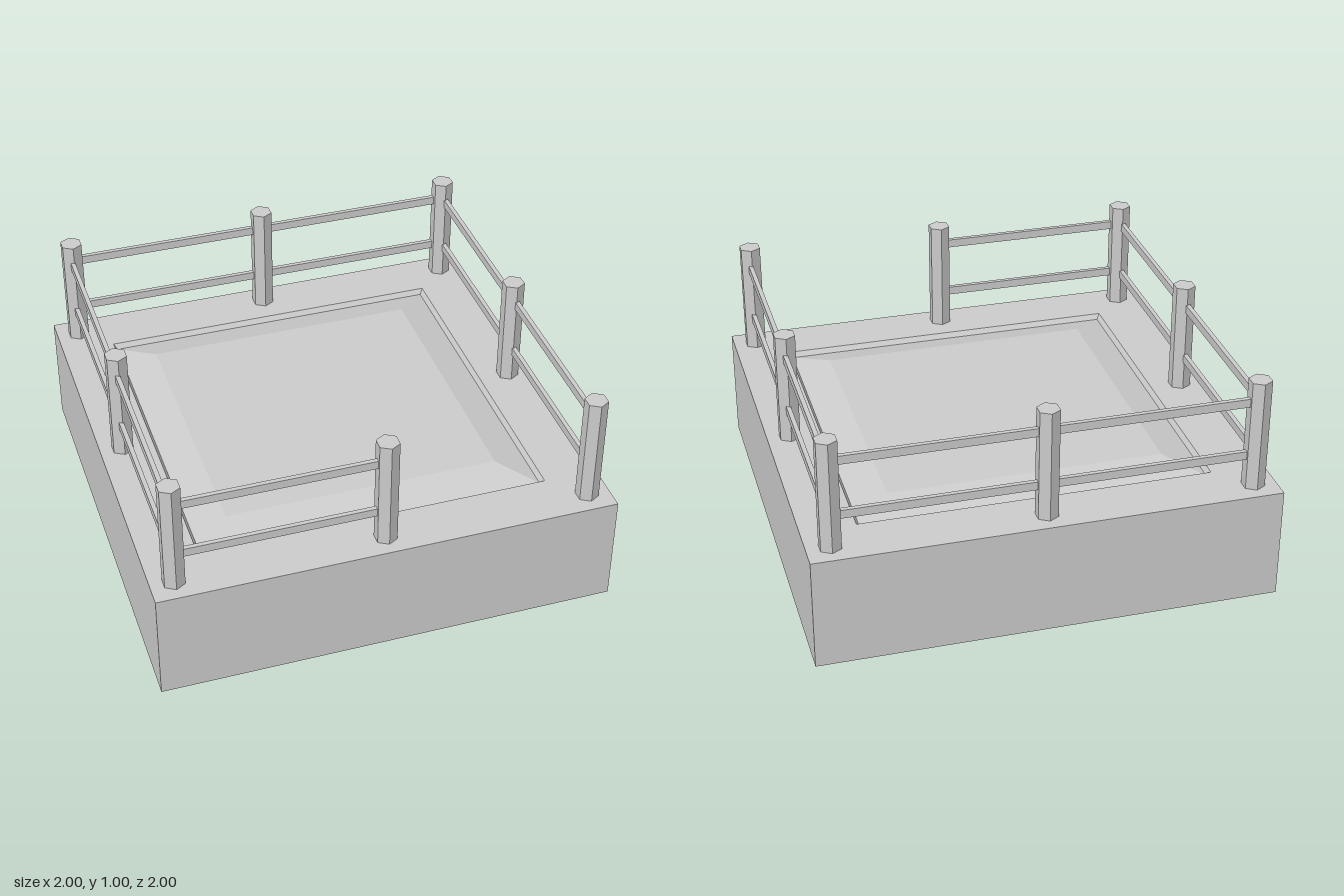
import * as THREE from 'three';

const material = new THREE.MeshStandardMaterial({ color: 0xcccccc, flatShading: true });

function addMesh(parent, name, geometry, x = 0, y = 0, z = 0) {
  const mesh = new THREE.Mesh(geometry, material);
  mesh.name = name;
  mesh.position.set(x, y, z);
  parent.add(mesh);
  return mesh;
}

// Square solid from a profile of [half width, height] pairs
function squareLathe(profile) {
  const points = profile.map(([half, y]) => new THREE.Vector2(half * Math.SQRT2, y));
  return new THREE.LatheGeometry(points, 4, Math.PI / 4);
}

export function createModel() {
  const model = new THREE.Group();
  model.name = 'fencedPlatform';

  // Block with a bevelled opening in its top
  addMesh(model, 'base', squareLathe([[0, 0], [1, 0], [1, 0.5], [0.765, 0.5], [0.75, 0.477]]));

  // Raised floor with sloping borders
  addMesh(model, 'floorPanel', squareLathe([[0.75, 0.477], [0.6, 0.52], [0, 0.52]]));

  // Hexagonal posts at the corners and mid-sides
  const spacing = 0.9;
  const postGeometry = new THREE.CylinderGeometry(0.05, 0.05, 0.5, 6);
  for (const i of [-1, 0, 1]) {
    for (const j of [-1, 0, 1]) {
      if (i || j) addMesh(model, 'post', postGeometry, i * spacing, 0.75, j * spacing);
    }
  }

  // Two rails per bay, leaving an entrance at the front left
  const railOffset = 0.905;
  const alongX = new THREE.BoxGeometry(spacing, 0.038, 0.02);
  const alongZ = new THREE.BoxGeometry(0.02, 0.038, spacing);
  for (const y of [0.654, 0.903]) {
    for (const side of [-1, 1]) {
      for (const half of [-1, 1]) {
        const middle = half * spacing / 2;
        addMesh(model, 'sideRail', alongZ, side * railOffset, y, middle);
        const entrance = side === 1 && half === 1;
        if (!entrance) addMesh(model, side === 1 ? 'frontRail' : 'backRail', alongX, middle, y, side * railOffset);
      }
    }
  }
  return model;
}
